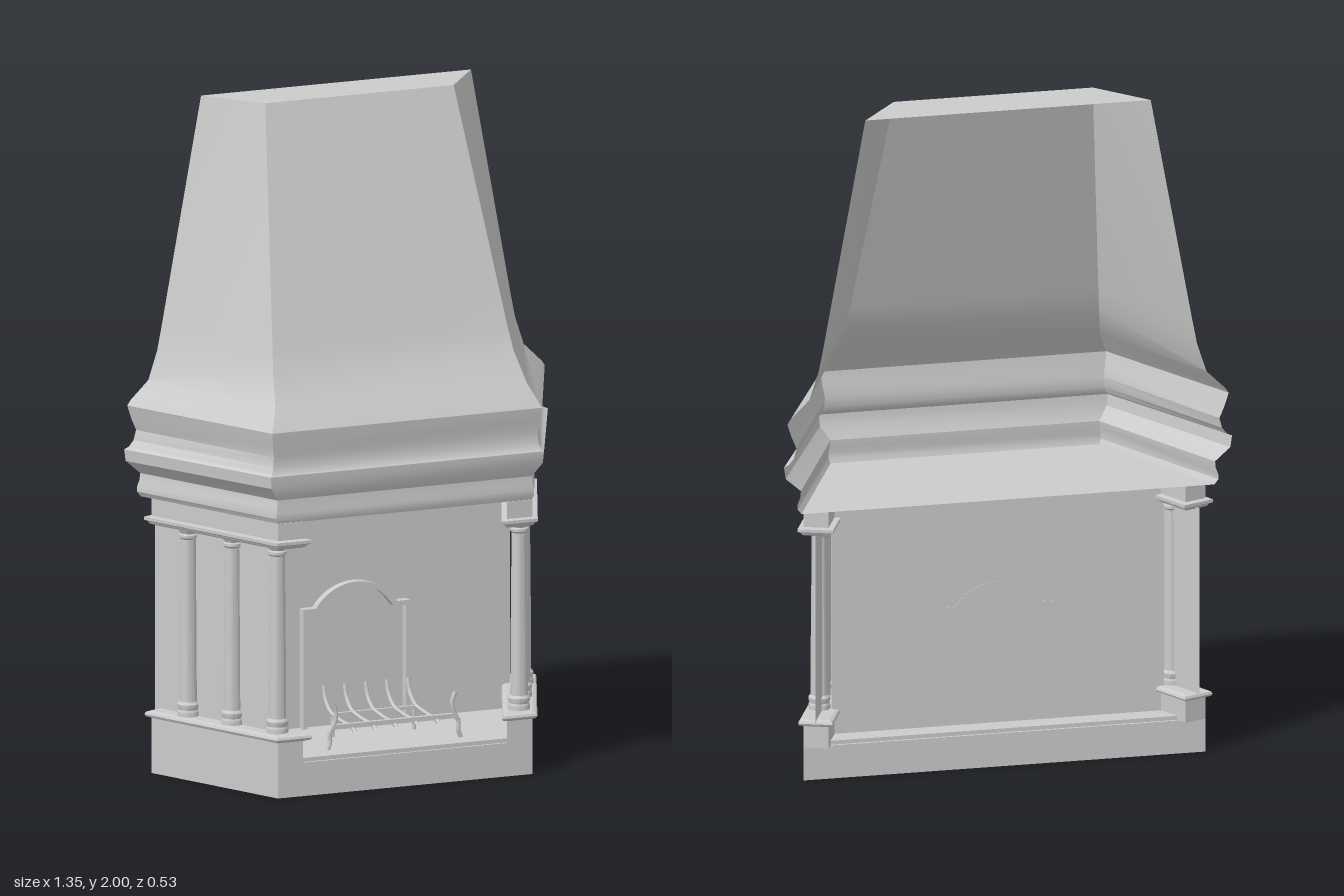
import * as THREE from 'three';
import { toCreasedNormals } from 'three/addons/utils/BufferGeometryUtils.js';

const mat = new THREE.MeshStandardMaterial({ color: 0xcccccc, side: THREE.DoubleSide });

function add(parent, name, geometry) {
  const mesh = new THREE.Mesh(geometry, mat);
  mesh.name = name;
  parent.add(mesh);
  return mesh;
}

// Skin a stack of rings (bottom to top, counter-clockwise from above), with optional end caps
function loft(rings, { closed = true, bottom = false, top = false, crease = 0.3 } = {}) {
  const pos = [];
  const tri = (a, b, c) => pos.push(...a, ...b, ...c);
  const n = rings[0].length;
  for (let k = 0; k < rings.length - 1; k++) {
    const a = rings[k], b = rings[k + 1];
    for (let i = 0; i < (closed ? n : n - 1); i++) {
      const j = (i + 1) % n;
      tri(a[i], a[j], b[j]);
      tri(a[i], b[j], b[i]);
    }
  }
  const first = rings[0], last = rings[rings.length - 1];
  for (let i = 1; i < n - 1; i++) {
    if (bottom) tri(first[0], first[i + 1], first[i]);
    if (top) tri(last[0], last[i], last[i + 1]);
  }
  const g = new THREE.BufferGeometry();
  g.setAttribute('position', new THREE.Float32BufferAttribute(pos, 3));
  g.computeVertexNormals();
  return toCreasedNormals(g, crease);
}

// Mitred outward offset of a plan polygon, lifted to height y
function offsetRing(plan, o, y) {
  const n = plan.length;
  const normal = (p, q) => {
    const dx = q[0] - p[0], dz = q[1] - p[1], l = Math.hypot(dx, dz);
    return [-dz / l, dx / l];
  };
  return plan.map((p, i) => {
    const a = normal(plan[(i + n - 1) % n], p), b = normal(p, plan[(i + 1) % n]);
    const s = o / (1 + a[0] * b[0] + a[1] * b[1]);
    return [p[0] + (a[0] + b[0]) * s, y, p[1] + (a[1] + b[1]) * s];
  });
}

// Sweep an [offset, y] profile around a plan polygon
const moulding = (plan, profile, options) =>
  loft(profile.map(([o, y]) => offsetRing(plan, o, y)), options);

const tube = (points, r, segments = 16) => new THREE.TubeGeometry(
  new THREE.CatmullRomCurve3(points.map(p => new THREE.Vector3(...p))), segments, r, 8);

// Stepped arch outline, shrunk by inset t
function archPath(path, t) {
  const w = 0.17 - t, s = 0.13 - t, h = 0.47 - t;
  path.moveTo(-w, 0.1);
  path.lineTo(w, 0.1);
  path.lineTo(w, h);
  path.lineTo(s, h);
  path.bezierCurveTo(s - 0.03, h + 0.045, 0.05, h + 0.07, 0, h + 0.07);
  path.bezierCurveTo(-0.05, h + 0.07, -s + 0.03, h + 0.045, -s, h);
  path.lineTo(-w, h);
  path.closePath();
  return path;
}

export function createModel() {
  const model = new THREE.Group();
  model.name = 'fireplace';

  // Base, hollow underneath, and the hearth slab on it
  const basePlan = [[-0.405, 0.25], [0.405, 0.25], [0.605, -0.21], [-0.605, -0.21]];
  add(model, 'base', moulding(basePlan, [[0, 0], [0, 0.1]], { top: true }));
  add(model, 'hearth', moulding(basePlan, [[-0.008, 0.1], [-0.008, 0.112]], { top: true }));

  // Hood: [y, front z, front half width, back half width]
  const back = -0.25;
  const sections = [
    [0.82, 0.247, 0.405, 0.622], [0.835, 0.252, 0.41, 0.634], [0.85, 0.252, 0.41, 0.634],
    [0.87, 0.249, 0.407, 0.626], [0.89, 0.248, 0.405, 0.624],
    [0.93, 0.265, 0.432, 0.67], [0.965, 0.267, 0.435, 0.675], [0.972, 0.261, 0.428, 0.66],
    [0.99, 0.255, 0.422, 0.645], [1.02, 0.254, 0.42, 0.637],
    [1.055, 0.261, 0.426, 0.652], [1.095, 0.265, 0.43, 0.665],
    [1.11, 0.256, 0.423, 0.655], [1.165, 0.22, 0.4, 0.598], [1.25, 0.165, 0.383, 0.57],
    [1.32, 0.14, 0.374, 0.556], [2, -0.08, 0.3, 0.43],
  ];
  const hoodRing = ([y, z, f, b]) => [[-b, y, back], [-f, y, z], [f, y, z], [b, y, back]];
  add(model, 'hood', loft(sections.map(hoodRing), { closed: false, bottom: true, top: true, crease: 0.4 }));

  // Back panel with a raised arched frame
  const panel = add(model, 'backPanel', new THREE.BoxGeometry(1.0, 0.71, 0.006));
  panel.position.set(0, 0.465, -0.13);
  const arch = archPath(new THREE.Shape(), 0);
  arch.holes.push(archPath(new THREE.Path(), 0.013));
  const frame = add(model, 'archFrame', new THREE.ExtrudeGeometry(arch,
    { depth: 0.035, bevelEnabled: false, curveSegments: 10 }));
  frame.position.z = -0.135;

  // Slanted colonnade on each side
  const columnProfile = [[0.032, 0.186], [0.032, 0.2], [0.029, 0.206], [0.032, 0.214], [0.032, 0.222],
    [0.026, 0.23], [0.025, 0.4], [0.022, 0.715], [0.027, 0.72], [0.027, 0.728], [0.023, 0.732],
    [0.03, 0.746]].map(p => new THREE.Vector2(...p));
  const columnGeometry = toCreasedNormals(new THREE.LatheGeometry(columnProfile, 20), 0.5);
  const stripPlan = [[0.325, 0.25], [0.405, 0.25], [0.605, -0.21], [0.538, -0.239]];
  for (const side of [1, -1]) {
    const group = new THREE.Group();
    group.name = side > 0 ? 'leftColonnade' : 'rightColonnade';
    model.add(group);
    const plan = side > 0 ? stripPlan : stripPlan.map(([x, z]) => [-x, z]).reverse();
    const ends = { bottom: true, top: true };
    add(group, 'plinth', moulding(plan,
      [[0, 0.1], [0, 0.165], [0.012, 0.17], [0.015, 0.176], [0.012, 0.183], [0.002, 0.187]], ends));
    add(group, 'entablature', moulding(plan,
      [[-0.004, 0.742], [0.004, 0.746], [0.008, 0.753], [0.016, 0.757], [0.016, 0.766], [0, 0.769], [0, 0.82]], ends));

    // Thin wall running through the column centres
    const wallPlan = [[0.385, 0.2], [0.578, -0.245]].map(([x, z]) => [side * x, z]);
    if (side < 0) wallPlan.reverse();
    add(group, 'sideWall', loft([0.18, 0.75].map(y => wallPlan.map(([x, z]) => [x, y, z])), { closed: false }));

    for (const [x, z] of [[0.385, 0.2], [0.46, 0.045], [0.532, -0.11]]) {
      add(group, 'column', columnGeometry).position.set(side * x, 0, z);
    }
  }

  // Fire grate: front bar, scrolled ends, fingers rising to the back, rear legs
  const grate = new THREE.Group();
  grate.name = 'fireGrate';
  model.add(grate);
  const bar = add(grate, 'frontBar', new THREE.BoxGeometry(0.4, 0.014, 0.014));
  bar.position.set(0, 0.178, 0.17);
  const rearBar = add(grate, 'rearBar', new THREE.BoxGeometry(0.27, 0.01, 0.01));
  rearBar.position.set(0, 0.178, 0.02);
  for (const s of [1, -1]) {
    add(grate, 'scrollEnd', tube([[s * 0.212, 0.112, 0.17], [s * 0.204, 0.135, 0.17], [s * 0.205, 0.16, 0.17],
      [s * 0.19, 0.19, 0.17], [s * 0.185, 0.22, 0.17], [s * 0.195, 0.25, 0.17]], 0.007, 20));
    add(grate, 'rearLeg', tube([[s * 0.13, 0.112, 0.02], [s * 0.13, 0.178, 0.02]], 0.006, 2));
  }
  for (let i = -2; i <= 2; i++) {
    const x = i * 0.067;
    add(grate, 'finger', tube([[x, 0.165, 0.19], [x, 0.172, 0.16], [x, 0.176, 0.08],
      [x, 0.188, 0.01], [x, 0.22, -0.025], [x, 0.255, -0.035]], 0.006, 20));
  }

  return model;
}
